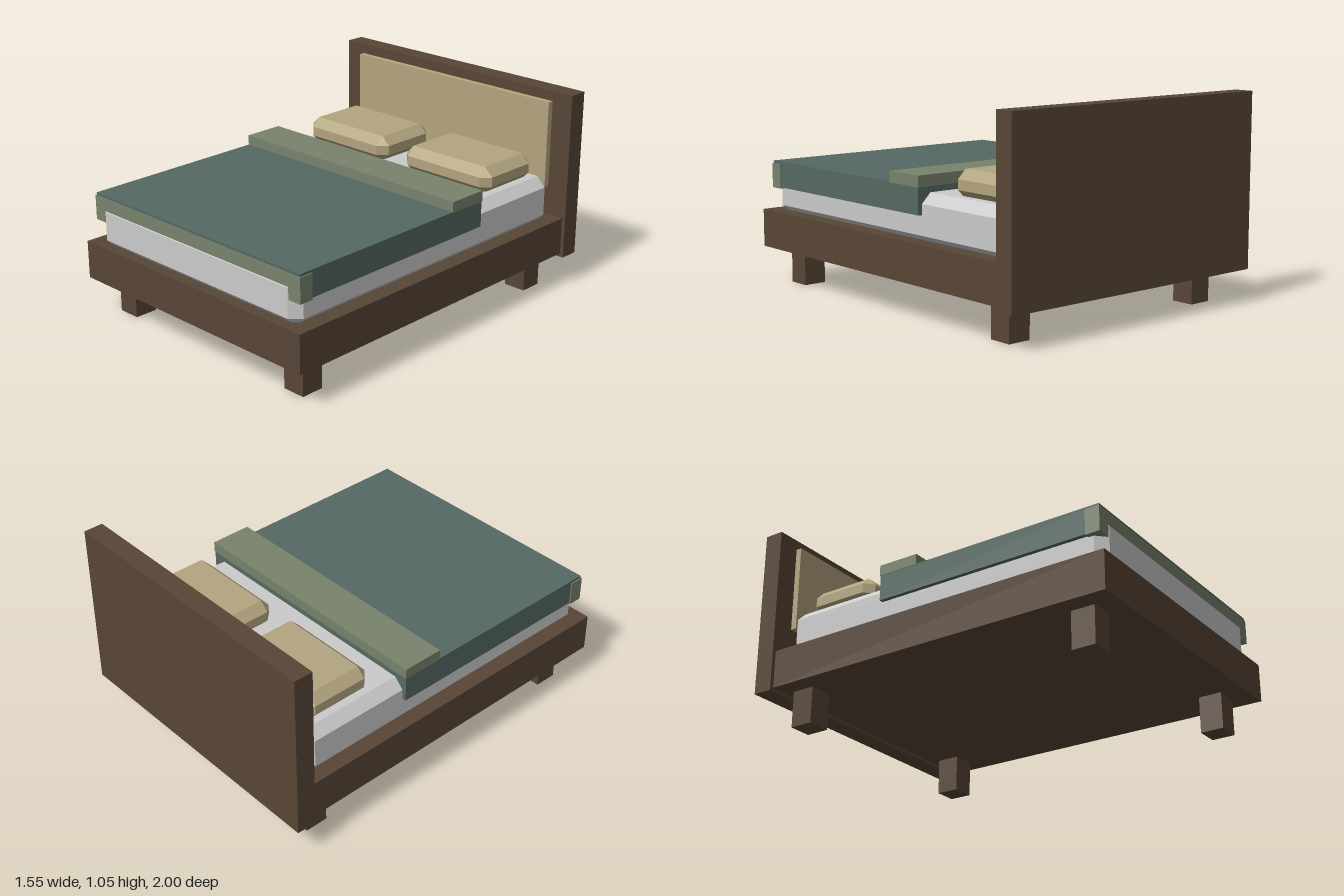
import * as THREE from 'three';
import { ConvexGeometry } from 'three/addons/geometries/ConvexGeometry.js';

const material = (color) => new THREE.MeshStandardMaterial({ color, flatShading: true });

// Box with all edges cut at 45 degrees by c
function chamferedBox(w, h, d, c) {
  const points = [];
  for (const sx of [-1, 1]) for (const sy of [-1, 1]) for (const sz of [-1, 1]) {
    const [x, y, z] = [w / 2, h / 2, d / 2];
    points.push(
      new THREE.Vector3(sx * x, sy * (y - c), sz * (z - c)),
      new THREE.Vector3(sx * (x - c), sy * y, sz * (z - c)),
      new THREE.Vector3(sx * (x - c), sy * (y - c), sz * z)
    );
  }
  return new ConvexGeometry(points);
}

export function createModel() {
  const bed = new THREE.Group();
  bed.name = 'bed';

  const wood = material(0x584636);
  const linen = material(0xb3a580);
  const teal = material(0x556963);
  const sage = material(0x78836c);
  const white = material(0xcccccc);

  // Adds a block spanning the given [min, max] ranges, optionally chamfered
  function block(name, mat, [x0, x1], [y0, y1], [z0, z1], chamfer = 0) {
    const size = [x1 - x0, y1 - y0, z1 - z0];
    const geometry = chamfer ? chamferedBox(...size, chamfer) : new THREE.BoxGeometry(...size);
    const mesh = new THREE.Mesh(geometry, mat);
    mesh.name = name;
    mesh.position.set((x0 + x1) / 2, (y0 + y1) / 2, (z0 + z1) / 2);
    bed.add(mesh);
  }

  // Wooden frame and upholstered headboard
  block('frame', wood, [-0.755, 0.755], [0.188, 0.385], [-0.91, 1]);
  block('headboard', wood, [-0.775, 0.775], [0.17, 1.05], [-1, -0.898]);
  block('headboardPanel', linen, [-0.657, 0.657], [0.54, 0.997], [-0.9, -0.866]);

  // Mattress, its lower edge sunk into the frame
  block('mattress', white, [-0.692, 0.692], [0.36, 0.61], [-0.87, 0.963], 0.05);

  // Blanket with a hem at the foot and a folded band at the head
  block('blanket', teal, [-0.714, 0.714], [0.508, 0.643], [-0.277, 0.956]);
  block('blanketHem', sage, [-0.72, 0.72], [0.502, 0.63], [0.885, 0.96]);
  block('foldedBand', sage, [-0.716, 0.716], [0.64, 0.695], [-0.28, -0.06]);

  // Mirrored legs and pillows
  for (const [side, s] of [['left', 1], ['right', -1]]) {
    const range = (a, b) => (s > 0 ? [a, b] : [-b, -a]);
    block(side + 'FrontLeg', wood, range(0.535, 0.657), [0, 0.2], [0.765, 0.887]);
    block(side + 'BackLeg', wood, range(0.535, 0.657), [0, 0.2], [-0.85, -0.728]);
    block(side + 'Pillow', linen, range(0.065, 0.628), [0.595, 0.735], [-0.805, -0.418], 0.045);
  }

  return bed;
}
